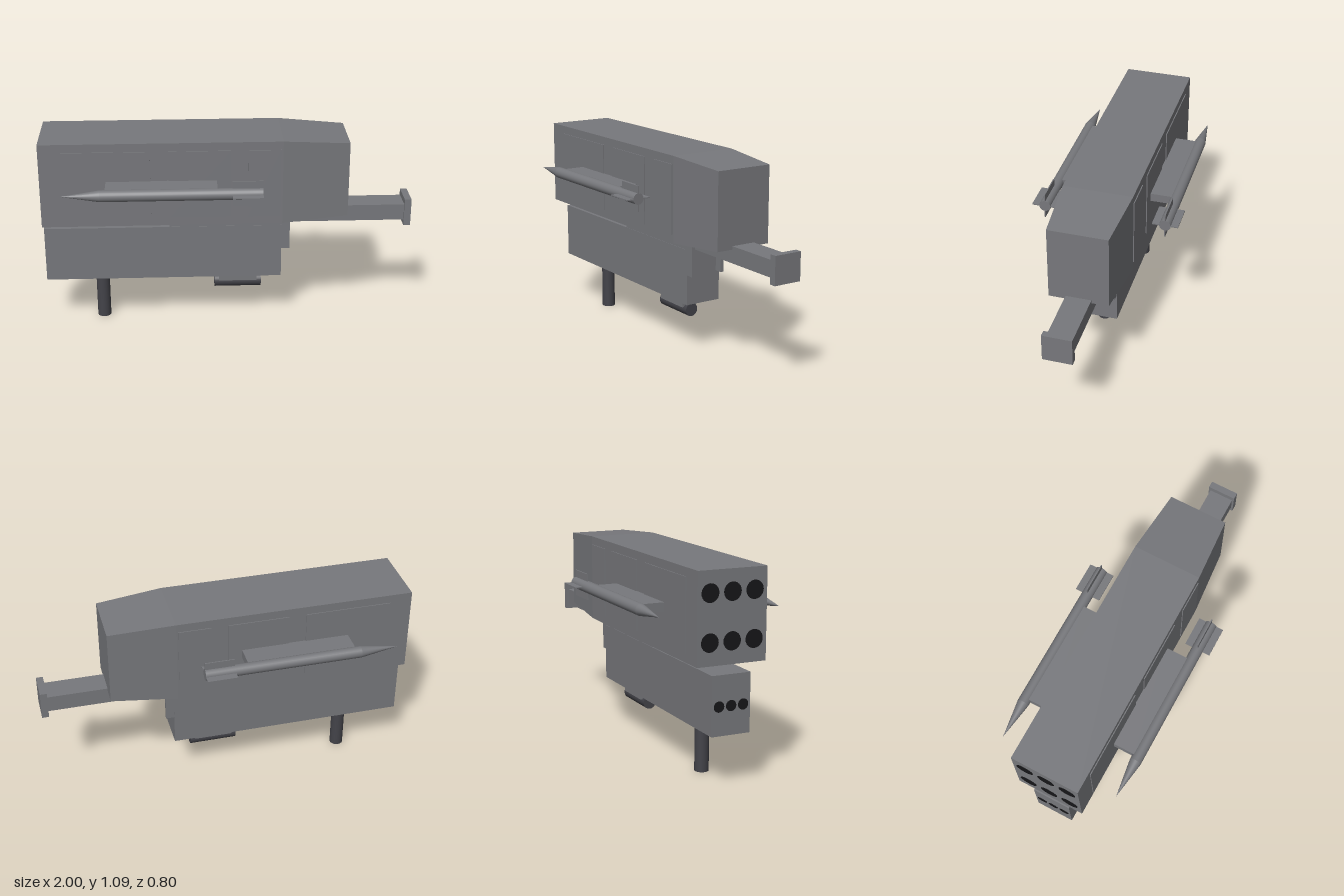
import * as THREE from 'three';
import { ConvexGeometry } from 'three/addons/geometries/ConvexGeometry.js';

const paint = (name, color) => {
  const m = new THREE.MeshStandardMaterial({ color });
  m.name = name;
  return m;
};

export function createModel() {
  const model = new THREE.Group();
  model.name = 'launcher';
  const grey = paint('gunmetalGrey', 0x77787c);
  const dark = paint('darkGrip', 0x434349);
  const black = paint('boreBlack', 0x161618);

  const add = (name, geometry, material, parent = model) => {
    const mesh = new THREE.Mesh(geometry, material);
    mesh.name = name;
    parent.add(mesh);
    return mesh;
  };
  // Box given by its minimum and maximum on each axis
  const box = (name, [x0, x1], [y0, y1], [z0, z1], material = grey, parent = model) => {
    const mesh = add(name, new THREE.BoxGeometry(x1 - x0, y1 - y0, z1 - z0), material, parent);
    mesh.position.set((x0 + x1) / 2, (y0 + y1) / 2, (z0 + z1) / 2);
    return mesh;
  };
  // Cylinder or cone lying along x; rStart is the radius at x0
  const rod = (name, x0, x1, y, z, rStart, rEnd, material, parent = model) => {
    const g = new THREE.CylinderGeometry(rStart, rEnd, x1 - x0, 24);
    g.rotateZ(Math.PI / 2);
    const mesh = add(name, g, material, parent);
    mesh.position.set((x0 + x1) / 2, y, z);
    return mesh;
  };

  // Upper housing: long box with a tapered rear
  const corners = [];
  for (const [x, y0, y1, z] of [[-0.998, 0.625, 1.09, 0.187], [0.285, 0.625, 1.09, 0.187], [0.64, 0.652, 1.065, 0.16]])
    for (const y of [y0, y1]) for (const s of [-1, 1]) corners.push(new THREE.Vector3(x, y, s * z));
  add('upperHousing', new ConvexGeometry(corners), grey);

  // Lower housing
  box('lowerHousing', [-0.998, 0.29], [0.272, 0.577], [-0.105, 0.105]);

  for (const s of [-1, 1]) {
    const span = (a, b) => (s > 0 ? [a, b] : [-b, -a]);
    // Plates joining both housings
    box('joiningPlate', [-0.32, 0.335], [0.437, 0.63], span(0.084, 0.103));
    // Slightly raised side panels
    for (const [a, b] of [[-0.88, -0.415], [-0.32, 0.01], [0.1, 0.275]])
      box('sidePanel', [a, b], [0.67, 1.045], span(0.183, 0.192));

    // Side missile on its pylon
    const missile = new THREE.Group();
    missile.name = s > 0 ? 'frontMissile' : 'backMissile';
    model.add(missile);
    const y = 0.859, z = s * 0.329;
    box('pylon', [-0.65, -0.065], [0.835, 0.881], span(0.18, 0.31), grey, missile);
    rod('missileBody', -0.675, 0.17, y, z, 0.031, 0.031, grey, missile);
    rod('missileNose', -0.88, -0.675, y, z, 0, 0.031, grey, missile);
    box('verticalFin', [0.01, 0.17], [y - 0.07, y + 0.07], [z - 0.003, z + 0.003], grey, missile);
    box('horizontalFin', [0.01, 0.17], [y - 0.003, y + 0.003], [z - 0.07, z + 0.07], grey, missile);
  }

  // Stock and butt plate
  box('stock', [0.2, 0.965], [0.58, 0.67], [-0.068, 0.068]);
  box('buttPlate', [0.963, 1], [0.55, 0.702], [-0.079, 0.079]);

  // Grip and the tube slung below the lower housing
  add('grip', new THREE.CylinderGeometry(0.037, 0.037, 0.28, 24), dark).position.set(-0.698, 0.14, 0);
  box('tubeMount', [-0.05, 0.16], [0.215, 0.28], [-0.045, 0.045]);
  rod('slungTube', -0.075, 0.185, 0.201, 0, 0.037, 0.037, dark);

  // Bores on the muzzle end
  const bore = (y, z, r) => rod('bore', -1, -0.994, y, z, r, r, black);
  for (const k of [-1, 0, 1]) {
    bore(0.98, k * 0.12, 0.047);
    bore(0.74, k * 0.12, 0.047);
    bore(0.42, k * 0.066, 0.028);
  }
  return model;
}
